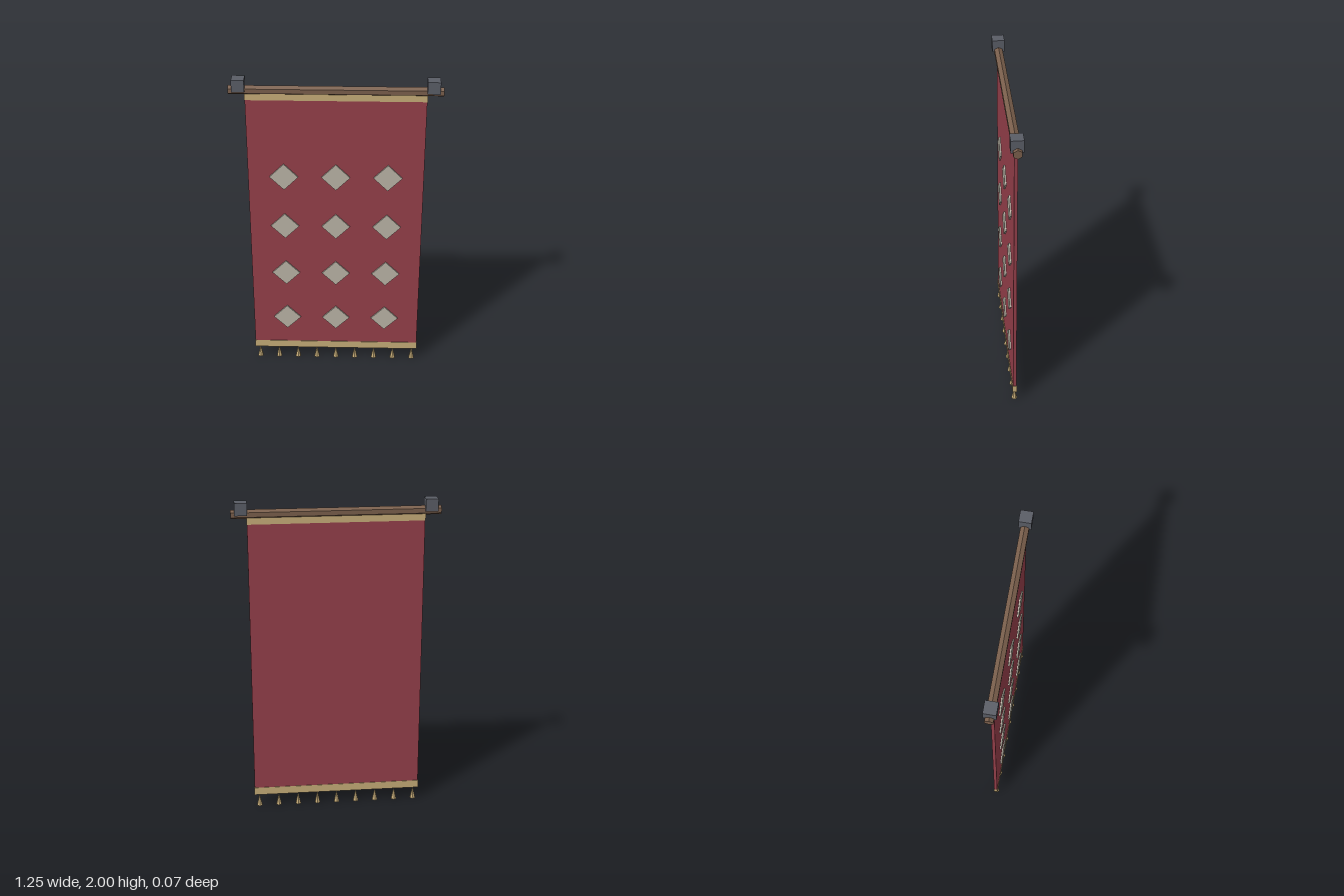
import * as THREE from 'three';

const mat = (name, color, extra = {}) => {
  const m = new THREE.MeshStandardMaterial({ color, ...extra });
  m.name = name;
  return m;
};

export function createModel() {
  const red = mat('red cloth', 0x943f4a);
  const gold = mat('gold trim', 0xc6ac78);
  const pale = mat('pale emblem', 0xbab4a6);
  const wood = mat('brown wood', 0x7a5f4c, { flatShading: true });
  const iron = mat('dark iron', 0x5a5d66);
  const tasselGold = mat('tassel gold', 0xc6ac78, { flatShading: true });

  const banner = new THREE.Group();
  banner.name = 'hangingBanner';
  const add = (name, geometry, material, x, y, z) => {
    const mesh = new THREE.Mesh(geometry, material);
    mesh.name = name;
    mesh.position.set(x, y, z);
    banner.add(mesh);
    return mesh;
  };

  // Cloth with a trim band at each end
  add('cloth', new THREE.BoxGeometry(1.06, 1.82, 0.02), red, 0, 0.995, 0);
  add('topTrim', new THREE.BoxGeometry(1.064, 0.05, 0.026), gold, 0, 1.891, 0);
  add('bottomTrim', new THREE.BoxGeometry(1.064, 0.05, 0.026), gold, 0, 0.105, 0);

  // Six-sided pole with a ridge along the top
  const pole = new THREE.CylinderGeometry(0.028, 0.028, 1.25, 6);
  pole.rotateY(Math.PI / 2).rotateZ(Math.PI / 2);
  add('pole', pole, wood, 0, 1.927, 0);

  // Wall brackets
  for (const [side, x] of [['left', 0.565], ['right', -0.565]]) {
    add(side + 'Bracket', new THREE.BoxGeometry(0.075, 0.075, 0.074), iron, x, 1.9625, 0);
  }

  // Diamonds on the front of the cloth
  const diamond = new THREE.BoxGeometry(0.123, 0.123, 0.01).rotateZ(Math.PI / 4);
  for (let row = 0; row < 4; row++) {
    for (let col = -1; col <= 1; col++) {
      add('diamond', diamond, pale, col * 0.314, 0.328 + row * 0.345, 0.0145);
    }
  }

  // Tassels along the lower edge
  const tassel = new THREE.ConeGeometry(0.019, 0.08, 6);
  for (let i = -4; i <= 4; i++) add('tassel', tassel, tasselGold, i * 0.125, 0.04, 0);

  return banner;
}
